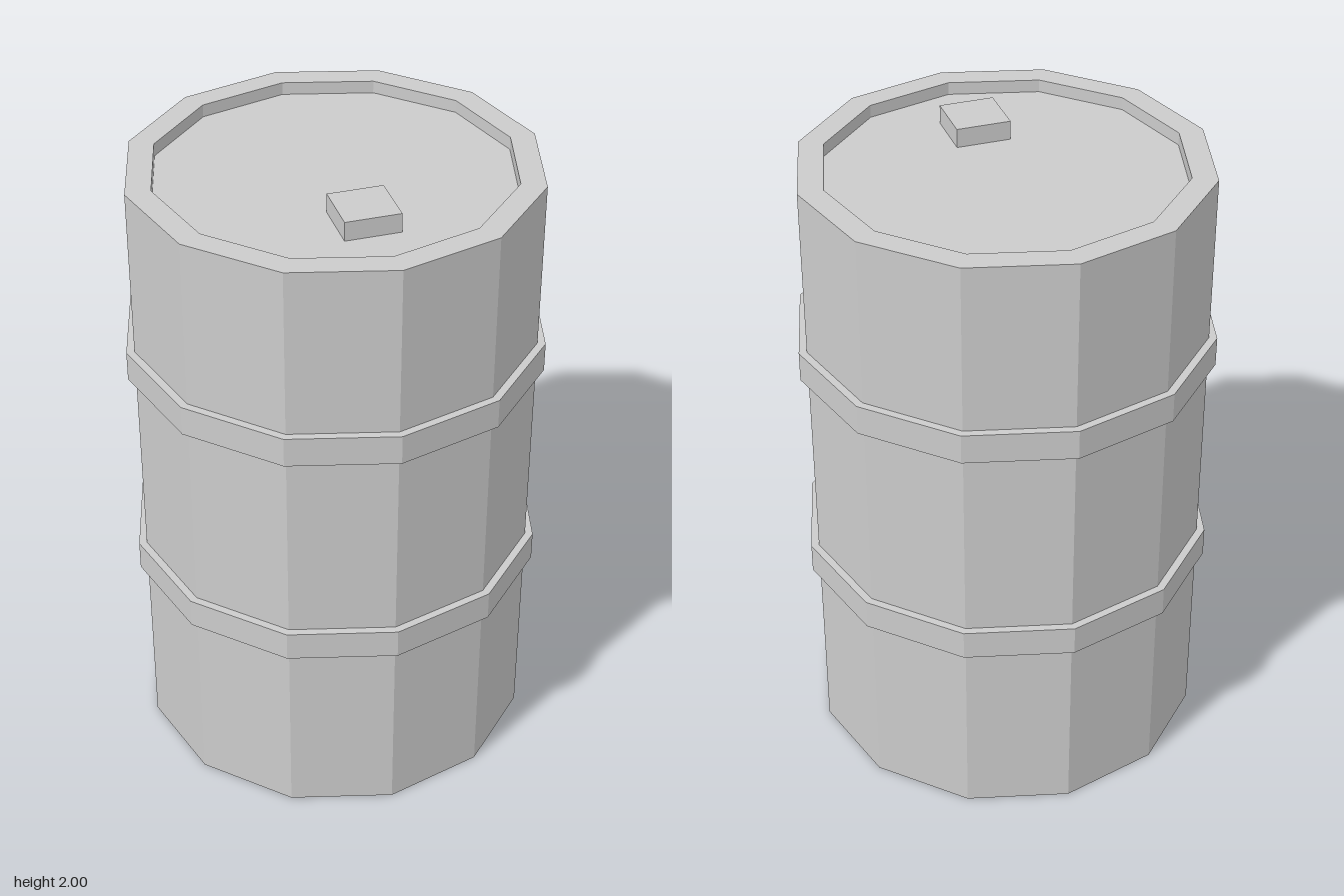
import * as THREE from 'three';

const SIDES = 12;

export function createModel() {
  const model = new THREE.Group();
  const material = new THREE.MeshStandardMaterial({ color: 0xcccccc, flatShading: true });

  const add = (name, geometry, x = 0, y = 0, z = 0) => {
    const mesh = new THREE.Mesh(geometry, material);
    mesh.name = name;
    mesh.position.set(x, y, z);
    model.add(mesh);
  };
  const lathe = (profile) =>
    new THREE.LatheGeometry(profile.map(([r, y]) => new THREE.Vector2(r, y)), SIDES);

  // Drum body with a raised rim around the recessed base and lid
  add('drumBody', lathe([
    [0, 0.05], [0.55, 0.05], [0.55, 0], [0.628, 0],
    [0.628, 1.98], [0.55, 1.98], [0.55, 1.94], [0, 1.94],
  ]));

  // Two reinforcing hoops
  const hoopHeight = 0.095;
  [['lowerHoop', 0.62], ['upperHoop', 1.35]].forEach(([name, y]) => {
    add(name, lathe([[0.62, 0], [0.653, 0], [0.653, hoopHeight], [0.62, hoopHeight]]), 0, y, 0);
  });

  // Square filler cap standing on the lid near the front
  add('fillerCap', new THREE.BoxGeometry(0.17, 0.07, 0.17), 0, 1.965, 0.284);

  return model;
}
